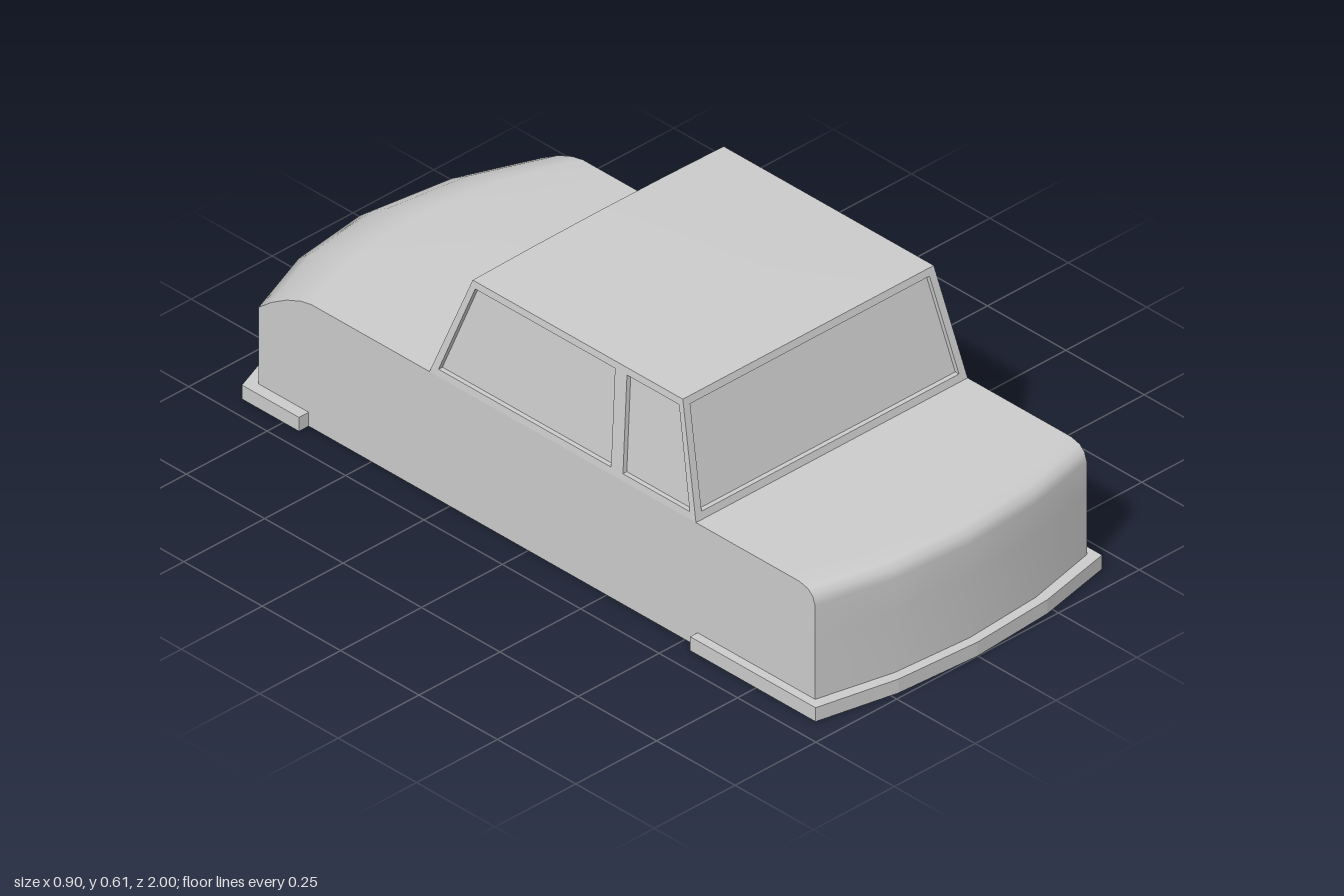
import * as THREE from 'three';

const material = new THREE.MeshStandardMaterial({ color: 0xcccccc, side: THREE.DoubleSide });
const HALF = 0.42;                          // body half width
const DECK = 0.327;                         // height of the waistline
const ROOF = 0.605;
const STATIONS = [-1, -0.52, 0, 0.52, 1];   // stations across the width
const FRONT_BOW = [0.06, 0.015, 0, 0.015, 0.06];
const REAR_BOW = [0.11, 0.03, 0, 0.03, 0.11];

function mesh(name, geometry) {
  const m = new THREE.Mesh(geometry, material);
  m.name = name;
  return m;
}

// Surface through rows of points; flat gives hard facets
function loft(rows, flat = false) {
  const n = rows[0].length, index = [];
  for (let i = 0; i < rows.length - 1; i++) {
    for (let j = 0; j < n - 1; j++) {
      const a = i * n + j, b = a + n;
      index.push(a, a + 1, b, a + 1, b + 1, b);
    }
  }
  let g = new THREE.BufferGeometry();
  g.setAttribute('position', new THREE.Float32BufferAttribute(rows.flat(2), 3));
  g.setIndex(index);
  if (flat) g = g.toNonIndexed();
  g.computeVertexNormals();
  return g;
}

const toShape = (pts) => new THREE.Shape(pts.map(([a, b]) => new THREE.Vector2(a, b)));

// Flat shape whose corners are placed in space by map(a, b)
function mappedShape(shape, map) {
  const g = new THREE.ShapeGeometry(shape), p = g.attributes.position;
  for (let i = 0; i < p.count; i++) p.setXYZ(i, ...map(p.getX(i), p.getY(i)));
  g.computeVertexNormals();
  return g;
}

// Cabin wall with window openings and recessed panes
function windowWall(name, outline, windows, map) {
  const group = new THREE.Group();
  group.name = name;
  const shape = toShape(outline);
  windows.forEach((w) => shape.holes.push(new THREE.Path(w.map(([a, b]) => new THREE.Vector2(a, b)))));
  group.add(mesh('windowFrame', mappedShape(shape, (a, b) => map(a, b, 0))));
  windows.forEach((w) => {
    const loop = [...w, w[0]], depth = 0.012;
    group.add(mesh('windowReveal', loft([loop.map(([a, b]) => map(a, b, depth)), loop.map(([a, b]) => map(a, b, 0))], true)));
    group.add(mesh('windowPane', mappedShape(toShape(w), (a, b) => map(a, b, depth))));
  });
  return group;
}

// Hood or trunk: a lengthwise profile bowed across the width.
// Profile entries: z, y, amount of bow, crown
function bodyEnd(profile, bow) {
  return profile.map(([z, y, w, crown = 0]) => STATIONS.map((s, i) =>
    [s * HALF, y + crown * (1 - s * s), z - Math.sign(profile[0][0]) * bow[i] * w]));
}

// Hollow bumper: top ledge, outer wall and end caps, open below
function bumper(name, inner, outer) {
  const group = new THREE.Group(), h = 0.037;
  group.name = name;
  const at = (pts, y) => pts.map(([x, z]) => [x, y, z]);
  group.add(mesh('bumperShell', loft([at(inner, h), at(outer, h), at(outer, 0)], true)));
  [0, inner.length - 1].forEach((i) => {
    const ends = [inner[i], outer[i]];
    group.add(mesh('bumperEnd', loft([at(ends, h), at(ends, 0)], true)));
  });
  return group;
}

export function createModel() {
  const car = new THREE.Group();
  car.name = 'car';

  // Hood with rounded nose, trunk with sloping tail
  const front = [[0.975, 0, 1], [0.975, 0.2, 1], [0.975, 0.285, 1], [0.968, 0.306, 1], [0.953, 0.32, 1],
    [0.925, DECK, 1], [0.85, DECK, 0.7], [0.535, DECK, 0]];
  const rear = [[-0.97, 0, 1], [-0.97, 0.16, 1], [-0.97, 0.24, 1], [-0.93, 0.272, 1], [-0.88, 0.302, 1],
    [-0.83, 0.32, 0.95, 0.002], [-0.78, DECK, 0.8, 0.005], [-0.6, DECK, 0.4, 0.005], [-0.315, DECK, 0, 0.003]];
  const hood = bodyEnd(front, FRONT_BOW), trunk = bodyEnd(rear, REAR_BOW);
  car.add(mesh('hood', loft(hood)));
  car.add(mesh('trunk', loft(trunk.map((row) => row.slice().reverse()))));

  // Lower body sides follow the outer edges of the hood and trunk
  const edge = [...hood, ...trunk.slice().reverse()].map((row) => row[4]);
  for (const s of [1, -1]) {
    const outline = edge.map(([, y, z]) => [-s * z, y]);
    car.add(mesh('bodySide', mappedShape(toShape(outline), (a, b) => [s * HALF, b, -s * a])));
  }

  // Cabin walls lean inward towards the roof
  const rise = (y) => (y - DECK) / (ROOF - DECK);
  const xAt = (y) => HALF - 0.032 * rise(y);
  const frontZ = (y) => 0.535 - 0.075 * rise(y);
  const rearZ = (y) => -0.315 + 0.105 * rise(y);
  const lo = 0.345, hi = 0.587;

  for (const s of [1, -1]) {
    const flip = (pts) => pts.map(([z, y]) => [-s * z, y]);
    car.add(windowWall('cabinSide',
      flip([[frontZ(DECK), DECK], [rearZ(DECK), DECK], [rearZ(ROOF), ROOF], [frontZ(ROOF), ROOF]]),
      [
        flip([[0.513, lo], [0.3, lo], [0.284, hi], [0.45, hi]]),
        flip([[0.262, lo], [-0.288, lo], [-0.2, hi], [0.246, hi]]),
      ],
      (a, b, d) => [s * (xAt(b) - d), b, -s * a]));
  }

  const acrossOutline = [[-HALF, DECK], [HALF, DECK], [xAt(ROOF), ROOF], [-xAt(ROOF), ROOF]];
  const acrossGlass = [[-0.398, lo], [0.398, lo], [0.37, hi], [-0.37, hi]];
  car.add(windowWall('windshield', acrossOutline, [acrossGlass], (a, b, d) => [a, b, frontZ(b) - d]));
  car.add(windowWall('rearWindow', acrossOutline, [acrossGlass], (a, b, d) => [-a, b, rearZ(b) + d]));

  // Roof, very slightly crowned
  const roofRows = [frontZ(ROOF), 0.2, rearZ(ROOF)].map((z, i) => STATIONS.map((s) =>
    [s * xAt(ROOF), ROOF + (1 - s * s) * [0, 0.003, 0.005][i], z]));
  car.add(mesh('roof', loft(roofRows)));

  // Wrap-around bumpers
  const path = (half, tip, end, bow) => [[-half, end],
    ...STATIONS.map((s, i) => [s * half, tip - Math.sign(tip) * bow[i]]), [half, end]];
  car.add(bumper('frontBumper', path(HALF, 0.975, 0.54, FRONT_BOW), path(0.443, 1, 0.54, FRONT_BOW)));
  car.add(bumper('rearBumper', path(HALF, -0.97, -0.7, REAR_BOW).reverse(),
    path(0.45, -1, -0.7, [0.118, 0.033, 0, 0.033, 0.118]).reverse()));

  return car;
}
